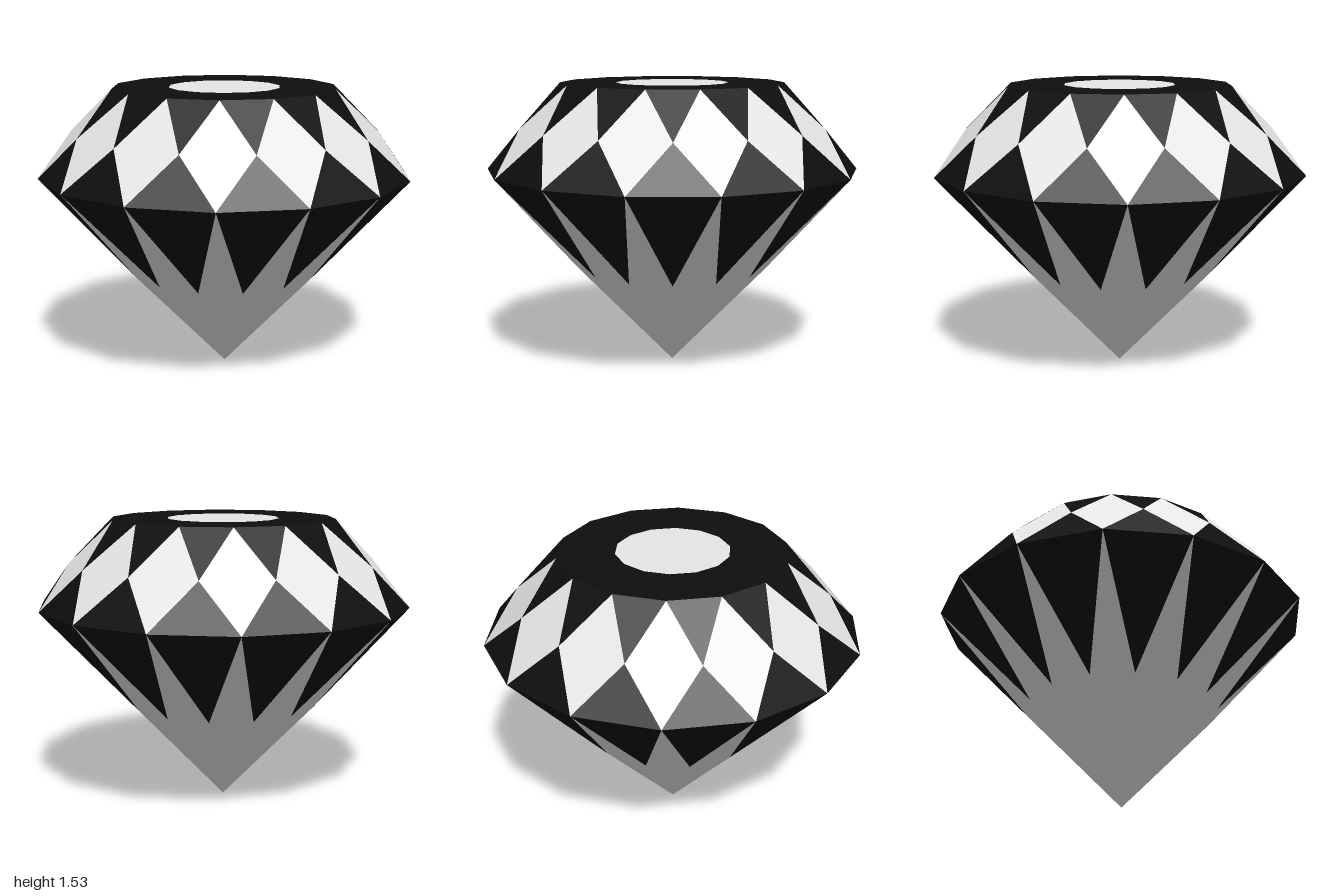
import * as THREE from 'three';

const SIDES = 14;
const STEP = (Math.PI * 2) / SIDES;
const HALF = 1 / Math.cos(STEP / 2); // keeps the kite facets planar

const white = new THREE.MeshStandardMaterial({ name: 'white facet', color: 0xe6e6e6, flatShading: true });
const black = new THREE.MeshStandardMaterial({ name: 'black facet', color: 0x0e0e0e, flatShading: true });

// Rings of corners: k may be a half step
const ring = (radius, y) => (k) =>
  new THREE.Vector3(radius * Math.cos(k * STEP), y, radius * Math.sin(k * STEP));
const disc = ring(0.3, 1.535);
const table = ring(0.6, 1.535);
const crown = ring(0.8 * HALF, 1.3025);
const girdle = ring(1, 1.07);
const pavilion = ring(0.5 * HALF, 0.535);
const tip = new THREE.Vector3(0, 0, 0);
const tableCentre = new THREE.Vector3(0, 1.535, 0);
const core = new THREE.Vector3(0, 0.9, 0);

// Repeats one convex facet around the stone, each turned to face outward
function facets(name, material, corners) {
  const points = [];
  for (let i = 0; i < SIDES; i++) {
    const c = corners(i);
    for (let j = 1; j < c.length - 1; j++) {
      const tri = new THREE.Triangle(c[0], c[j], c[j + 1]);
      const normal = tri.getNormal(new THREE.Vector3());
      const outward = normal.dot(c[0].clone().sub(core)) > 0;
      points.push(c[0], ...(outward ? [c[j], c[j + 1]] : [c[j + 1], c[j]]));
    }
  }
  const geometry = new THREE.BufferGeometry().setFromPoints(points);
  geometry.computeVertexNormals();
  const mesh = new THREE.Mesh(geometry, material);
  mesh.name = name;
  return mesh;
}

export function createModel() {
  const gem = new THREE.Group();
  gem.name = 'cutGem';
  gem.add(
    // Flat top
    facets('tableDisc', white, (i) => [tableCentre, disc(i), disc(i + 1)]),
    facets('tableRing', black, (i) => [disc(i), table(i), table(i + 1), disc(i + 1)]),
    // Crown
    facets('starFacets', black, (i) => [table(i), table(i + 1), crown(i + 0.5)]),
    facets('crownKites', white, (i) => [table(i), crown(i + 0.5), girdle(i), crown(i - 0.5)]),
    facets('upperGirdleFacets', black, (i) => [girdle(i), girdle(i + 1), crown(i + 0.5)]),
    // Pavilion
    facets('lowerGirdleFacets', black, (i) => [girdle(i), girdle(i + 1), pavilion(i + 0.5)]),
    facets('pavilionKites', white, (i) => [girdle(i), pavilion(i + 0.5), tip, pavilion(i - 0.5)])
  );
  return gem;
}
